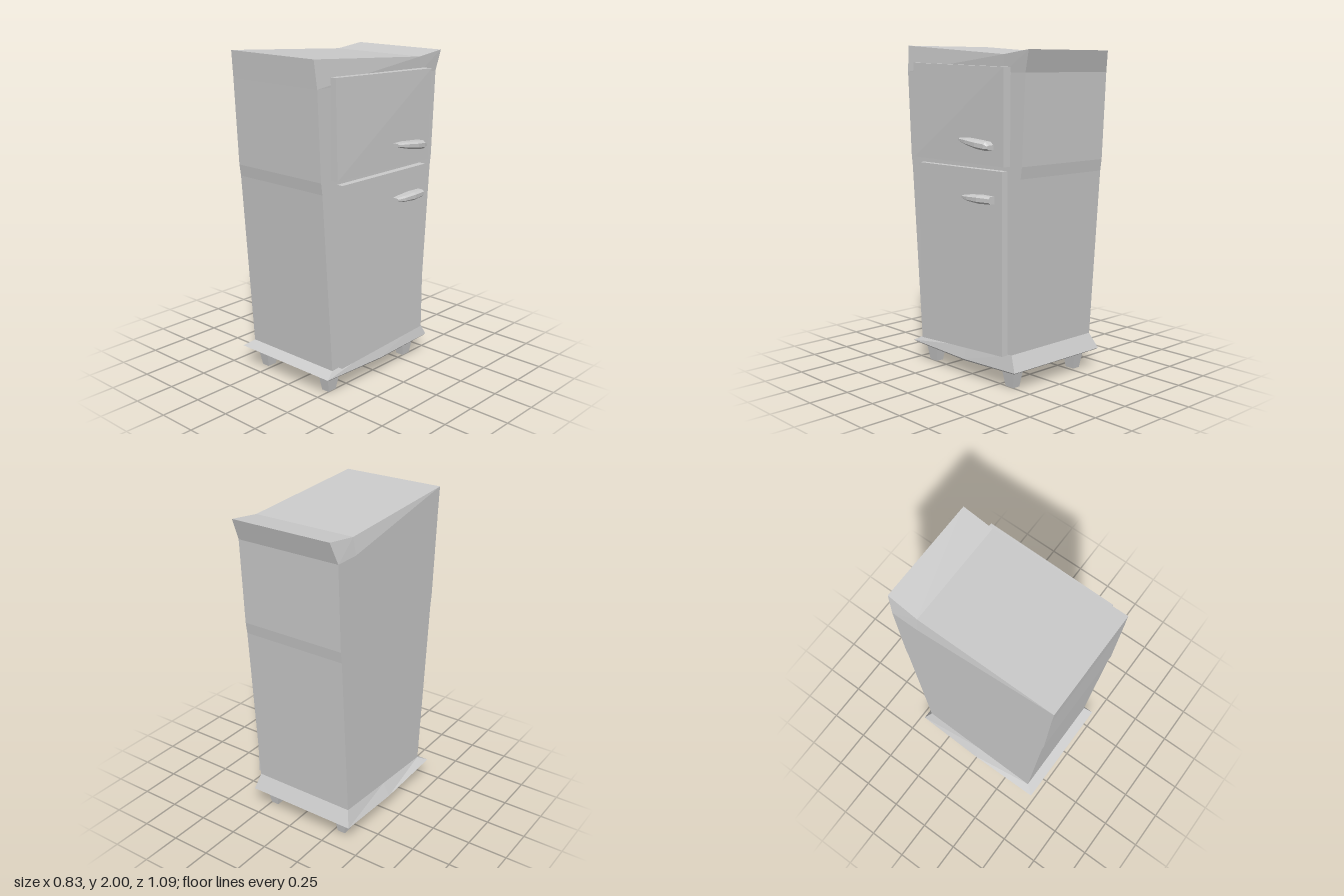
import * as THREE from 'three';

const material = new THREE.MeshStandardMaterial({
  color: 0xcccccc, flatShading: true, side: THREE.DoubleSide,
});

// Closed solid through equal-sized rings, counterclockwise seen from the last ring
function loft(name, rings) {
  const pos = [];
  const tri = (a, b, c) => pos.push(...a, ...b, ...c);
  const n = rings[0].length;
  for (let r = 0; r + 1 < rings.length; r++) {
    const a = rings[r], b = rings[r + 1];
    for (let i = 0; i < n; i++) {
      const j = (i + 1) % n;
      tri(a[i], a[j], b[j]);
      tri(a[i], b[j], b[i]);
    }
  }
  const first = rings[0], last = rings[rings.length - 1];
  for (let i = 1; i + 1 < n; i++) {
    tri(first[0], first[i + 1], first[i]);
    tri(last[0], last[i], last[i + 1]);
  }
  const geo = new THREE.BufferGeometry();
  geo.setAttribute('position', new THREE.Float32BufferAttribute(pos, 3));
  geo.computeVertexNormals();
  const mesh = new THREE.Mesh(geo, material);
  mesh.name = name;
  return mesh;
}

// Cabinet outline at one height: front, bend and back each as [z, y, xMin, xMax]
const ring = (front, bend, back) => {
  const p = ([z, y, x0, x1]) => [[x0, y, z], [x1, y, z]];
  const [fl, fr] = p(front), [ml, mr] = p(bend), [bl, br] = p(back);
  return [ml, fl, fr, mr, br, bl];
};
const level = (y, zf, zb, zm = -0.34) =>
  ring([zf, y, -0.375, 0.3], [zm, y, -0.375, 0.3], [zb, y, -0.375, 0.3]);

// Door slab: outer corners [x, y, z] from bottom front round to top front
const door = (name, innerX, outer) =>
  loft(name, [outer.map(([, y, z], i) => [innerX[i], y, z]), outer]);

// Handle: stations along z as [z, centre y, half height, outer x]
const handle = (name, x0, stations) =>
  loft(name, stations.map(([z, y, h, x]) => [
    [x0, y - h, z], [x - 0.015, y - h, z], [x, y - h / 2, z],
    [x, y + h / 2, z], [x - 0.015, y + h, z], [x0, y + h, z],
  ]));

export function createModel() {
  const group = new THREE.Group();
  group.name = 'refrigerator';

  // Flared plinth, sagging slightly in the middle
  group.add(loft('plinth', [
    ring([0.47, 0.115, -0.41, 0.31], [0, 0.098, -0.41, 0.31], [-0.43, 0.115, -0.4, 0.31]),
    ring([0.485, 0.125, -0.42, 0.32], [0, 0.11, -0.42, 0.32], [-0.445, 0.125, -0.41, 0.32]),
    ring([0.425, 0.16, -0.375, 0.3], [0, 0.19, -0.375, 0.3], [-0.4, 0.22, -0.375, 0.3]),
  ]));

  // Cabinet widening upward to a swept top with a kicked-up back
  group.add(loft('cabinet', [
    ring([0.425, 0.16, -0.375, 0.3], [-0.3, 0.21, -0.375, 0.3], [-0.4, 0.22, -0.375, 0.3]),
    level(1.25, 0.5, -0.47),
    level(1.32, 0.51, -0.48),
    level(1.84, 0.535, -0.505),
    ring([0.545, 2, -0.375, 0.285], [-0.34, 1.94, -0.355, 0.305], [-0.54, 1.965, -0.345, 0.31]),
  ]));

  // Doors
  group.add(door('freezerDoor', [0.29, 0.29, 0.29, 0.29], [
    [0.345, 1.32, 0.425], [0.35, 1.315, -0.385], [0.357, 1.87, -0.39], [0.337, 1.895, 0.43],
  ]));
  group.add(door('mainDoor', [0.29, 0.29, 0.29, 0.29], [
    [0.337, 0.17, 0.38], [0.342, 0.212, -0.365], [0.345, 1.288, -0.365], [0.34, 1.288, 0.38],
  ]));

  // Handles
  group.add(handle('freezerHandle', 0.345, [
    [-0.302, 1.422, 0.013, 0.4], [-0.28, 1.428, 0.025, 0.408], [-0.21, 1.435, 0.024, 0.415],
    [-0.12, 1.447, 0.019, 0.41], [-0.05, 1.455, 0.01, 0.395],
  ]));
  group.add(handle('mainHandle', 0.335, [
    [-0.302, 1.12, 0.022, 0.39], [-0.21, 1.12, 0.024, 0.402],
    [-0.12, 1.12, 0.018, 0.398], [-0.065, 1.12, 0.011, 0.385],
  ]));

  // Tapered feet
  const square = (x, y, z, w, d) =>
    [[x - w, y, z + d], [x + w, y, z + d], [x + w, y, z - d], [x - w, y, z - d]];
  for (const x of [-0.3, 0.225]) {
    for (const z of [0.375, -0.33]) {
      group.add(loft('foot', [square(x, 0, z, 0.026, 0.032), square(x, 0.118, z, 0.041, 0.053)]));
    }
  }
  return group;
}
